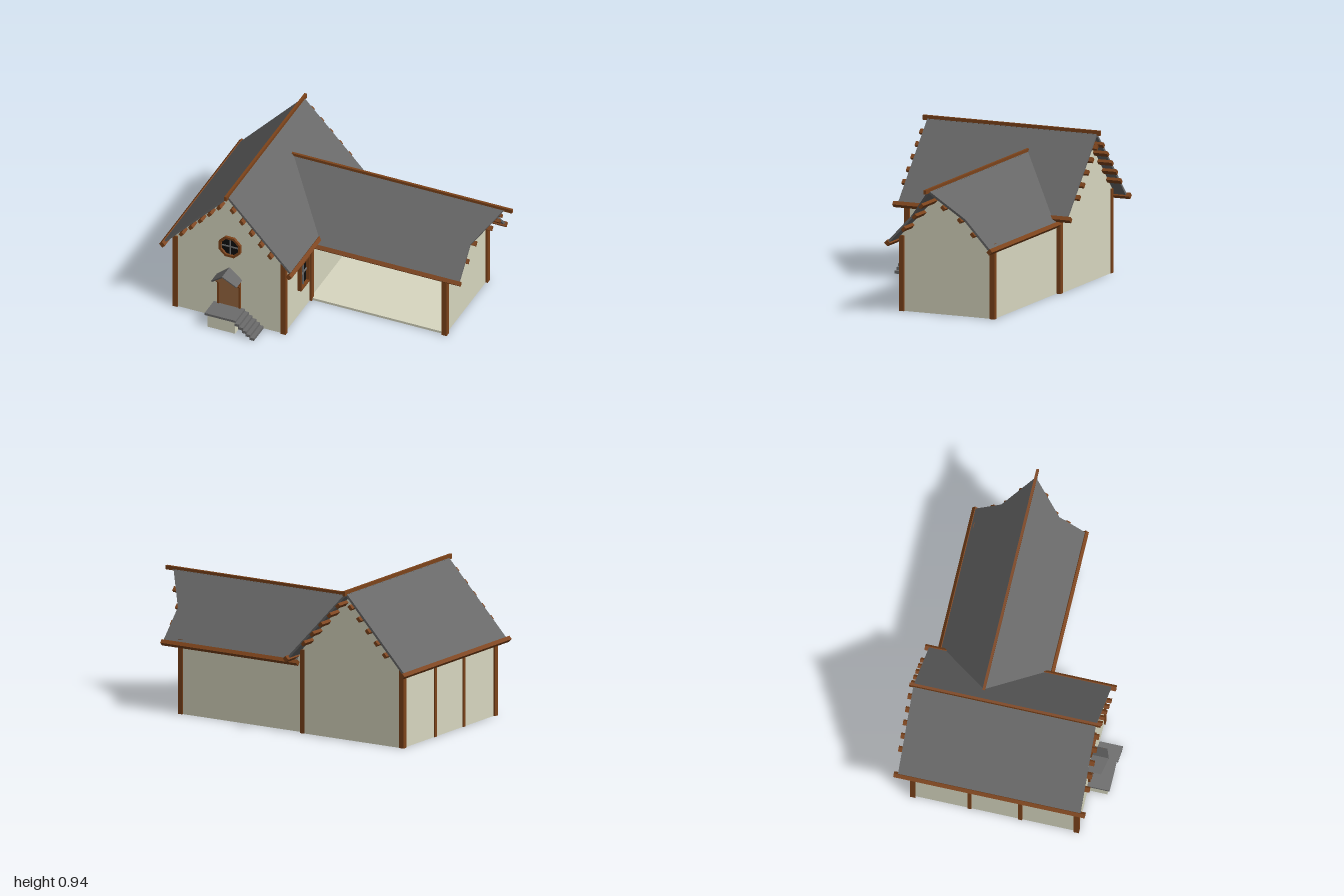
import * as THREE from 'three';

const mat = (color) => new THREE.MeshStandardMaterial({ color, flatShading: true });
const WALL = mat(0xd8d7c0), ROOF = mat(0x676767), WOOD = mat(0x7c431a);
const DOOR = mat(0x96663f), GLASS = mat(0x0c0c0c), STONE = mat(0x6c6c6c);

function add(parent, name, geometry, material, x = 0, y = 0, z = 0) {
  const mesh = new THREE.Mesh(geometry, material);
  mesh.name = name;
  mesh.position.set(x, y, z);
  parent.add(mesh);
  return mesh;
}

// Box given by its minimum and maximum on each axis
function block(parent, name, material, x0, x1, y0, y1, z0, z1) {
  return add(parent, name, new THREE.BoxGeometry(x1 - x0, y1 - y0, z1 - z0), material,
    (x0 + x1) / 2, (y0 + y1) / 2, (z0 + z1) / 2);
}

function extrude(points, depth) {
  const shape = new THREE.Shape(points.map(([x, y]) => new THREE.Vector2(x, y)));
  return new THREE.ExtrudeGeometry(shape, { depth, bevelEnabled: false });
}

const gable = (half, eave, apex, depth) =>
  extrude([[-half, 0], [half, 0], [half, eave], [0, apex], [-half, eave]], depth);

// Two mirrored slopes. The ridge lies on local x; outline points are [x, distance out from ridge].
function gableRoof(parent, name, { run, drop, outline, thick, purlins = [], eave }) {
  const roof = new THREE.Group();
  roof.name = name;
  const length = Math.hypot(run, drop), k = length / run;
  for (const side of [1, -1]) {
    const half = new THREE.Group();
    half.name = 'roofSlope';
    half.scale.z = side;
    const slope = new THREE.Group();
    const down = new THREE.Vector3(0, -drop, run).normalize();
    const xAxis = new THREE.Vector3(1, 0, 0);
    slope.quaternion.setFromRotationMatrix(
      new THREE.Matrix4().makeBasis(xAxis, down, xAxis.clone().cross(down)));
    add(slope, 'roofPanel', extrude(outline.map(([x, d]) => [x, d * k]), thick), ROOF);
    for (const [d, x0, x1] of purlins)
      block(slope, 'purlin', WOOD, x0, x1, d * k - 0.015, d * k + 0.015, thick, thick + 0.02);
    if (eave)
      block(slope, 'eaveBeam', WOOD, eave[0], eave[1], length - 0.012, length + 0.014, -0.006, thick + 0.01);
    half.add(slope);
    roof.add(half);
  }
  parent.add(roof);
  return roof;
}

function post(parent, x, z, top, size = 0.032) {
  block(parent, 'cornerPost', WOOD, x - size / 2, x + size / 2, 0, top, z - size / 2, z + size / 2);
}

function frame(outer, inner, depth) {
  const shape = new THREE.Shape(outer);
  shape.holes.push(new THREE.Path(inner));
  return new THREE.ExtrudeGeometry(shape, { depth, bevelEnabled: false });
}

// Framed pane with a cross, facing local +z
function makeWindow(parent, name, corners, w, h, border) {
  const win = new THREE.Group();
  win.name = name;
  const ring = (s) => corners.map(([x, y]) =>
    new THREE.Vector2(x * (w - s), y * (h - s)));
  add(win, 'windowFrame', frame(ring(0), ring(border), 0.018), WOOD);
  add(win, 'windowPane', new THREE.ExtrudeGeometry(new THREE.Shape(ring(border / 2)),
    { depth: 0.004, bevelEnabled: false }), GLASS);
  const iw = w - border, ih = h - border;
  block(win, 'windowBar', STONE, -0.004, 0.004, -ih, ih, 0.002, 0.009);
  block(win, 'windowBar', STONE, -iw, iw, -0.004, 0.004, 0.002, 0.009);
  parent.add(win);
  return win;
}

export function createModel() {
  const house = new THREE.Group();
  house.name = 'house';
  const cx = -0.562, wz = -0.2;

  // Main hall
  add(house, 'mainWalls', gable(0.361, 0.52, 0.918, 1.03), WALL, cx, 0, -0.54);
  for (const x of [-0.918, -0.203]) {
    post(house, x, 0.484, 0.52);
    post(house, x, -0.529, 0.52);
  }
  for (const z of [-0.18, 0.135]) post(house, -0.918, z, 0.52, 0.024);

  // Main roof, ridge running front to back
  const mainRoof = gableRoof(house, 'mainRoof', {
    run: 0.425, drop: 0.455, thick: 0.014,
    outline: [[-0.52, 0], [0.61, 0], [0.61, 0.425], [-0.52, 0.425]],
    purlins: [0.062, 0.124, 0.186, 0.248, 0.31].map((d) => [d, -0.55, 0.635]),
    eave: [-0.55, 0.635],
  });
  mainRoof.position.set(cx, 0.932, 0);
  mainRoof.rotation.y = Math.PI / 2;
  block(house, 'mainRidgeBeam', WOOD, cx - 0.008, cx + 0.008, 0.915, 0.945, -0.635, 0.55);

  // Open-fronted wing
  block(house, 'wingFloor', WALL, -0.2, 0.69, 0, 0.015, -0.515, 0.1);
  block(house, 'wingBackWall', WALL, -0.2, 0.69, 0, 0.47, -0.517, -0.505);
  const end = add(house, 'wingEndWall', gable(0.312, 0.467, 0.797, 0.012), WALL, 0.68, 0, wz);
  end.rotation.y = Math.PI / 2;
  for (const z of [0.097, -0.51]) {
    post(house, 0.689, z, 0.465);
    post(house, -0.203, z, 0.465);
  }

  // Wing roof with a pointed overhang and valley cut against the main roof
  const wingRoof = gableRoof(house, 'wingRoof', {
    run: 0.347, drop: 0.37, thick: 0.014,
    outline: [[-0.465, 0], [0.95, 0], [0.8, 0.18], [0.8, 0.347], [-0.15, 0.347], [-0.16, 0.3]],
    purlins: [[0.09, -0.16, 0.9], [0.168, -0.16, 0.83], [0.248, -0.16, 0.815]],
    eave: [-0.17, 0.81],
  });
  wingRoof.position.set(0, 0.81, wz);
  block(house, 'wingRidgeBeam', WOOD, -0.46, 1.0, 0.795, 0.82, wz - 0.008, wz + 0.008);

  // Windows
  const octagon = Array.from({ length: 8 }, (_, i) => {
    const a = (i + 0.5) * Math.PI / 4;
    return [Math.cos(a), Math.sin(a)];
  });
  makeWindow(house, 'roundWindow', octagon, 0.077, 0.077, 0.016).position.set(-0.555, 0.545, 0.489);
  const side = makeWindow(house, 'sideWindow', [[-1, -1], [1, -1], [1, 1], [-1, 1]],
    0.064, 0.095, 0.011);
  side.position.set(-0.202, 0.286, 0.229);
  side.rotation.y = Math.PI / 2;
  side.scale.z = 1.5;

  // Door and canopy
  block(house, 'door', DOOR, -0.632, -0.492, 0.105, 0.32, 0.488, 0.496);
  for (const s of [-1, 1]) {
    const x = cx + s * 0.07;
    block(house, 'doorJamb', WOOD, x - 0.006, x + 0.006, 0.105, 0.32, 0.488, 0.502);
    const brace = block(house, 'canopyBrace', WOOD, x - 0.006, x + 0.006, 0.25, 0.33, 0.518, 0.53);
    brace.rotation.x = Math.PI / 4;
  }
  add(house, 'canopyGable', extrude([[-0.075, 0], [0.075, 0], [0, 0.065]], 0.07), DOOR, cx, 0.311, 0.49);
  const canopy = gableRoof(house, 'doorCanopy', {
    run: 0.085, drop: 0.073, thick: 0.008,
    outline: [[-0.6, 0], [-0.488, 0], [-0.488, 0.085], [-0.572, 0.085]],
  });
  canopy.position.set(cx, 0.387, 0);
  canopy.rotation.y = Math.PI / 2;

  // Landing and side steps
  block(house, 'landingBase', WALL, -0.652, -0.47, 0, 0.095, 0.485, 0.612);
  block(house, 'landing', STONE, -0.665, -0.46, 0.093, 0.108, 0.485, 0.628);
  for (let i = 0; i < 5; i++) {
    const x = -0.464 + i * 0.0245, y = 0.092 - i * 0.0185;
    block(house, 'step', STONE, x, x + 0.03, y - 0.018, y, 0.485, 0.635);
  }
  return house;
}
